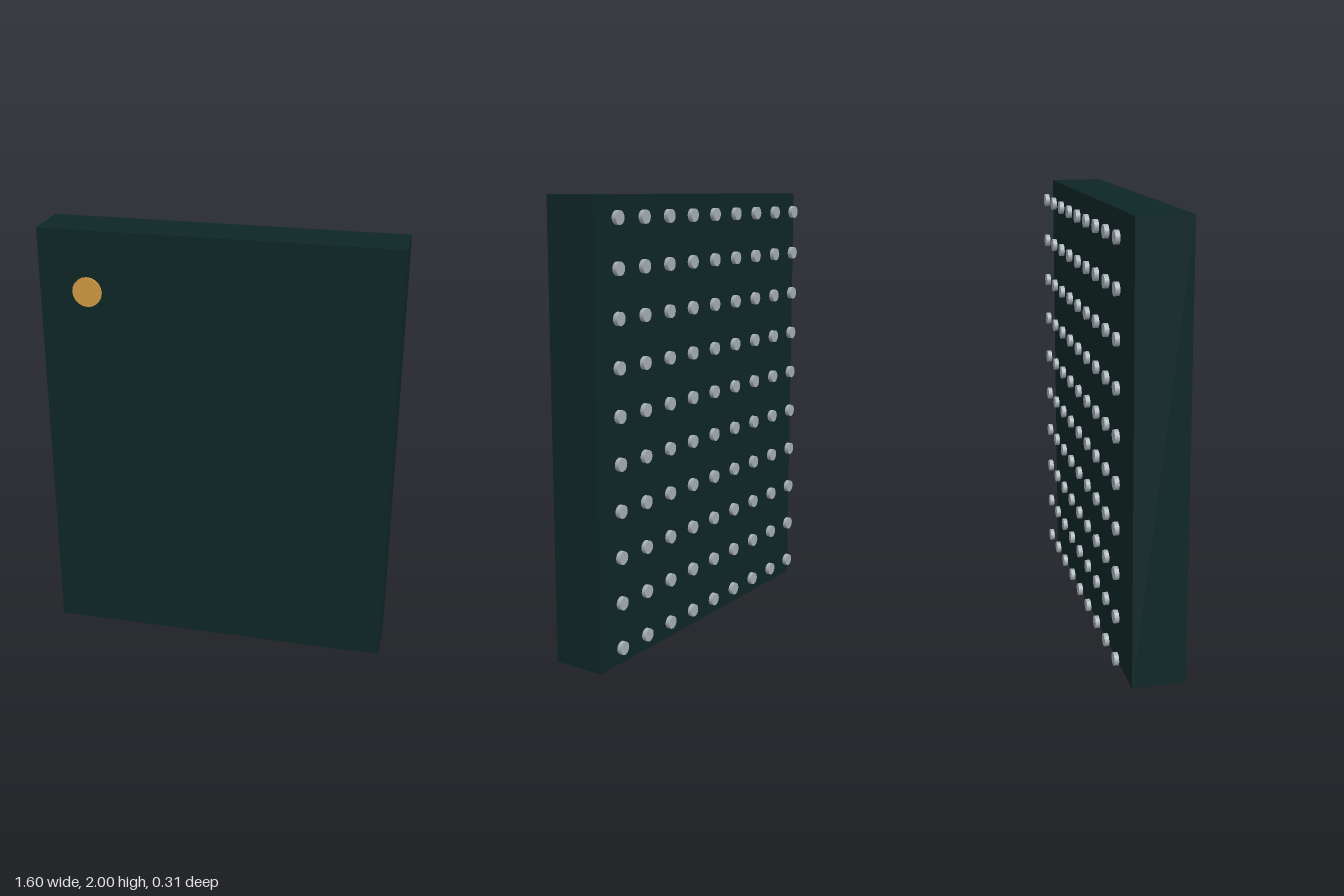
import * as THREE from 'three';

export function createModel() {
  const model = new THREE.Group();
  const bodyMat = new THREE.MeshStandardMaterial({ color: 0x0e2626 });
  bodyMat.name = 'dark green body';
  const goldMat = new THREE.MeshStandardMaterial({ color: 0xd09a42 });
  goldMat.name = 'gold marker';
  const padMat = new THREE.MeshStandardMaterial({ color: 0xa4adb4 });
  padMat.name = 'silver pad';

  // Disc whose axis runs along z
  const disc = (radius, depth, sides) =>
    new THREE.CylinderGeometry(radius, radius, depth, sides).rotateX(Math.PI / 2);

  const add = (parent, name, geometry, material, x, y, z) => {
    const mesh = new THREE.Mesh(geometry, material);
    mesh.name = name;
    mesh.position.set(x, y, z);
    parent.add(mesh);
  };

  // Slab body
  add(model, 'body', new THREE.BoxGeometry(1.6, 2, 0.24), bodyMat, 0, 1, 0.025);

  // Corner marker on the front
  add(model, 'cornerMarker', disc(0.067, 0.01, 20), goldMat, -0.58, 1.724, 0.15);

  // Grid of contact pads standing clear of the back
  const pads = new THREE.Group();
  pads.name = 'contactPads';
  const padGeometry = disc(0.029, 0.02, 16);
  for (let row = 0; row < 10; row++) {
    for (let col = 0; col < 9; col++) {
      add(pads, 'contactPad', padGeometry, padMat, (col - 4) * 0.1767, 0.1 + row * 0.2011, -0.145);
    }
  }
  model.add(pads);
  return model;
}
